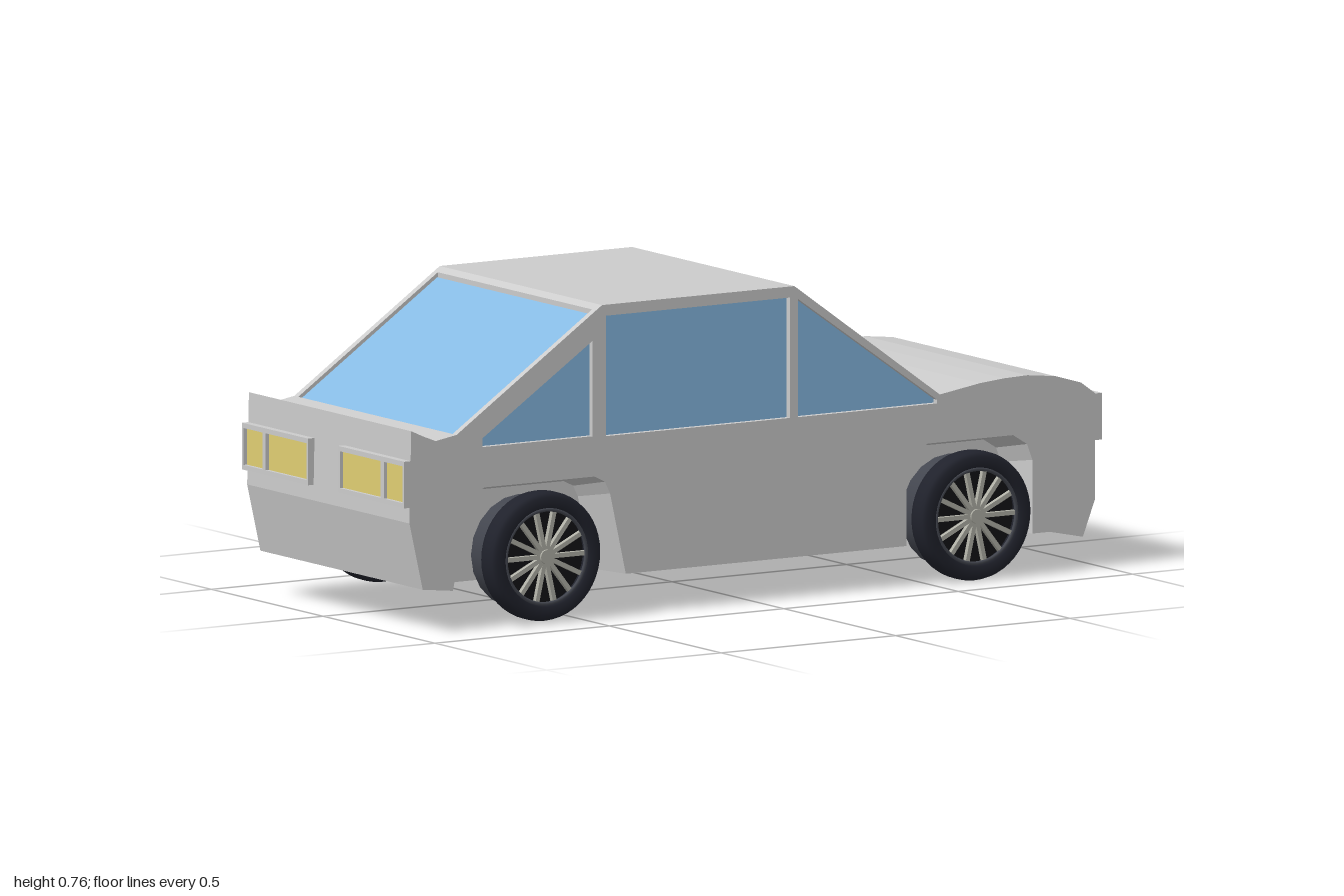
import * as THREE from 'three';

const mat = (color) => new THREE.MeshStandardMaterial({ color });
const GREY = mat(0xcccccc), GLASS = mat(0x86b9e2), LAMP = mat(0xdfce72);
const RUBBER = mat(0x20222c), DRUM = mat(0x43464f), DARK = mat(0x121215), ALLOY = mat(0xb0b0a6);
const HALF = 0.363, SKIN = 0.345, CORE = 0.25;

// Side profile pieces (x, y)
const tail = [[-0.947, 0.11], [-0.985, 0.275], [-0.98, 0.5], [-0.945, 0.484], [-0.91, 0.47], [-0.85, 0.48]];
const roof = [[-0.433, 0.762], [0.118, 0.762]];
const insetRoof = [[-0.838, 0.474], [-0.45, 0.736], [-0.45, 0.7505], ...roof, [0.13, 0.753], [0.13, 0.738], [0.525, 0.454]];
const hood = [[0.535, 0.462], [0.65, 0.48], [0.72, 0.486], [0.786, 0.488], [0.866, 0.479], [0.94, 0.457],
  [0.98, 0.428], [0.98, 0.17], [0.945, 0.08], [0.85, 0.1]];
const frontArch = [[0.8, 0.1], [0.8, 0.28], [0.785, 0.32], [0.745, 0.345], [0.5, 0.345], [0.46, 0.32], [0.44, 0.28], [0.44, 0.1]];
const rearArch = [[-0.365, 0.1], [-0.41, 0.3], [-0.425, 0.33], [-0.455, 0.345], [-0.77, 0.345], [-0.8, 0.33], [-0.825, 0.29], [-0.86, 0.1]];
const windows = [
  [[-0.775, 0.444], [-0.46, 0.444], [-0.46, 0.677], [-0.775, 0.466]],
  [[-0.422, 0.441], [0.105, 0.441], [0.105, 0.735], [-0.422, 0.735]],
  [[0.128, 0.441], [0.527, 0.441], [0.527, 0.45], [0.128, 0.73]],
];

const points = (list) => list.map(([x, y]) => new THREE.Vector2(x, y));

function slab(outline, z0, z1, holes = []) {
  const shape = new THREE.Shape(points(outline));
  shape.holes = holes.map((h) => new THREE.Path(points(h)));
  const geo = new THREE.ExtrudeGeometry(shape, { depth: z1 - z0, bevelEnabled: false });
  return geo.translate(0, 0, z0);
}

// Wheel wells narrow towards the middle of the car
function taperArches(geo) {
  const p = geo.attributes.position;
  for (let i = 0; i < p.count; i++) {
    const x = p.getX(i), y = p.getY(i);
    const rear = x > -0.87 && x < -0.36, front = x > 0.43 && x < 0.81;
    if (y > 0.36 || !(rear || front)) continue;
    const k = 1 - 0.1 * (HALF - Math.abs(p.getZ(i))) / (HALF - CORE);
    const cx = rear ? -0.61 : 0.62;
    p.setXY(i, cx + (x - cx) * k, 0.1 + (y - 0.1) * k);
  }
  geo.computeVertexNormals();
  return geo;
}

function add(parent, name, geo, material, x = 0, y = 0, z = 0) {
  const mesh = new THREE.Mesh(geo, material);
  mesh.name = name;
  mesh.position.set(x, y, z);
  parent.add(mesh);
  return mesh;
}

// Sloping pane between two profile points
function pane(parent, name, [x0, y0], [x1, y1]) {
  const geo = new THREE.BoxGeometry(Math.hypot(x1 - x0, y1 - y0), 0.006, SKIN * 2);
  const mesh = add(parent, name, geo, GLASS, (x0 + x1) / 2, (y0 + y1) / 2, 0);
  mesh.rotation.z = Math.atan2(y1 - y0, x1 - x0);
}

// Framed lamp on an end face; cells are z ranges from the inside outwards
function lamp(name, side, end, cells) {
  const g = new THREE.Group();
  g.name = name;
  const z0 = cells[0][0] - 0.008, z1 = HALF, x = end * 0.987, d = 0.026;
  for (const y of [0.319, 0.421])
    add(g, 'lampFrame', new THREE.BoxGeometry(d, 0.012, z1 - z0), GREY, x, y, side * (z0 + z1) / 2);
  const edges = [z0, ...cells.flat(), z1];
  for (let i = 0; i < edges.length; i += 2)
    add(g, 'lampFrame', new THREE.BoxGeometry(d, 0.09, edges[i + 1] - edges[i]), GREY, x, 0.37, side * (edges[i] + edges[i + 1]) / 2);
  for (const [a, b] of cells)
    add(g, 'lampLens', new THREE.BoxGeometry(0.02, 0.09, b - a), LAMP, end * 0.981, 0.37, side * (a + b) / 2);
  return g;
}

// Wheel with its outer face towards +z
function wheel(name) {
  const g = new THREE.Group();
  g.name = name;
  const tyre = [[0.118, 0.332], [0.148, 0.332], [0.156, 0.339], [0.158, 0.35], [0.158, 0.375], [0.155, 0.386], [0.146, 0.394], [0.122, 0.395], [0.118, 0.385], [0.118, 0.332]];
  add(g, 'tyre', new THREE.LatheGeometry(points(tyre), 48).rotateX(Math.PI / 2), RUBBER);
  add(g, 'innerDrum', new THREE.CylinderGeometry(0.138, 0.138, 0.07, 20).rotateX(Math.PI / 2), DRUM, 0, 0, 0.3);
  add(g, 'rimBacking', new THREE.CylinderGeometry(0.119, 0.119, 0.03, 40).rotateX(Math.PI / 2), DARK, 0, 0, 0.35);
  add(g, 'rimRing', new THREE.TorusGeometry(0.115, 0.005, 8, 48), DRUM, 0, 0, 0.385);
  add(g, 'hub', new THREE.CylinderGeometry(0.017, 0.022, 0.03, 20).rotateX(Math.PI / 2), ALLOY, 0, 0, 0.375);
  for (let i = 0; i < 14; i++) {
    const spoke = new THREE.BoxGeometry(0.1, 0.011, 0.012).translate(0.065, 0, 0);
    add(g, 'spoke', spoke, ALLOY, 0, 0, 0.38).rotation.z = (i / 14) * Math.PI * 2;
  }
  return g;
}

export function createModel() {
  const car = new THREE.Group();
  car.name = 'car';

  // Body: plain centre, side sections with wheel wells, outer skins with window openings
  const arches = [...frontArch, ...rearArch];
  add(car, 'bodyCentre', slab([...tail, ...insetRoof, ...hood, [0.8, 0.1], [-0.86, 0.1]], -CORE, CORE), GREY);
  const inner = [...tail, ...insetRoof, ...hood, ...arches];
  const outer = [...tail, ...roof, ...hood, ...arches];
  for (const s of [1, -1]) {
    const range = (a, b) => (s > 0 ? [a, b] : [-b, -a]);
    add(car, 'bodySide', taperArches(slab(inner, ...range(CORE, SKIN))), GREY);
    add(car, 'sidePanel', taperArches(slab(outer, ...range(SKIN, HALF), windows)), GREY);
    for (const w of windows) add(car, 'sideWindow', slab(w, ...range(SKIN - 0.002, SKIN + 0.003)), GLASS);
  }

  // Windscreen and rear window
  pane(car, 'rearWindow', [-0.838, 0.474], [-0.45, 0.736]);
  pane(car, 'windscreen', [0.13, 0.738], [0.525, 0.454]);

  // Lamps and wheels
  for (const s of [1, -1]) {
    car.add(lamp('headlight', s, 1, [[0.246, 0.357]]));
    car.add(lamp('tailLight', s, -1, [[0.075, 0.257], [0.272, 0.355]]));
    for (const [name, x, y] of [['frontWheel', 0.625, 0.16], ['rearWheel', -0.608, 0.165]]) {
      const w = wheel(name);
      w.position.set(x, y, 0);
      if (s < 0) w.rotation.y = Math.PI;
      car.add(w);
    }
  }
  return car;
}
